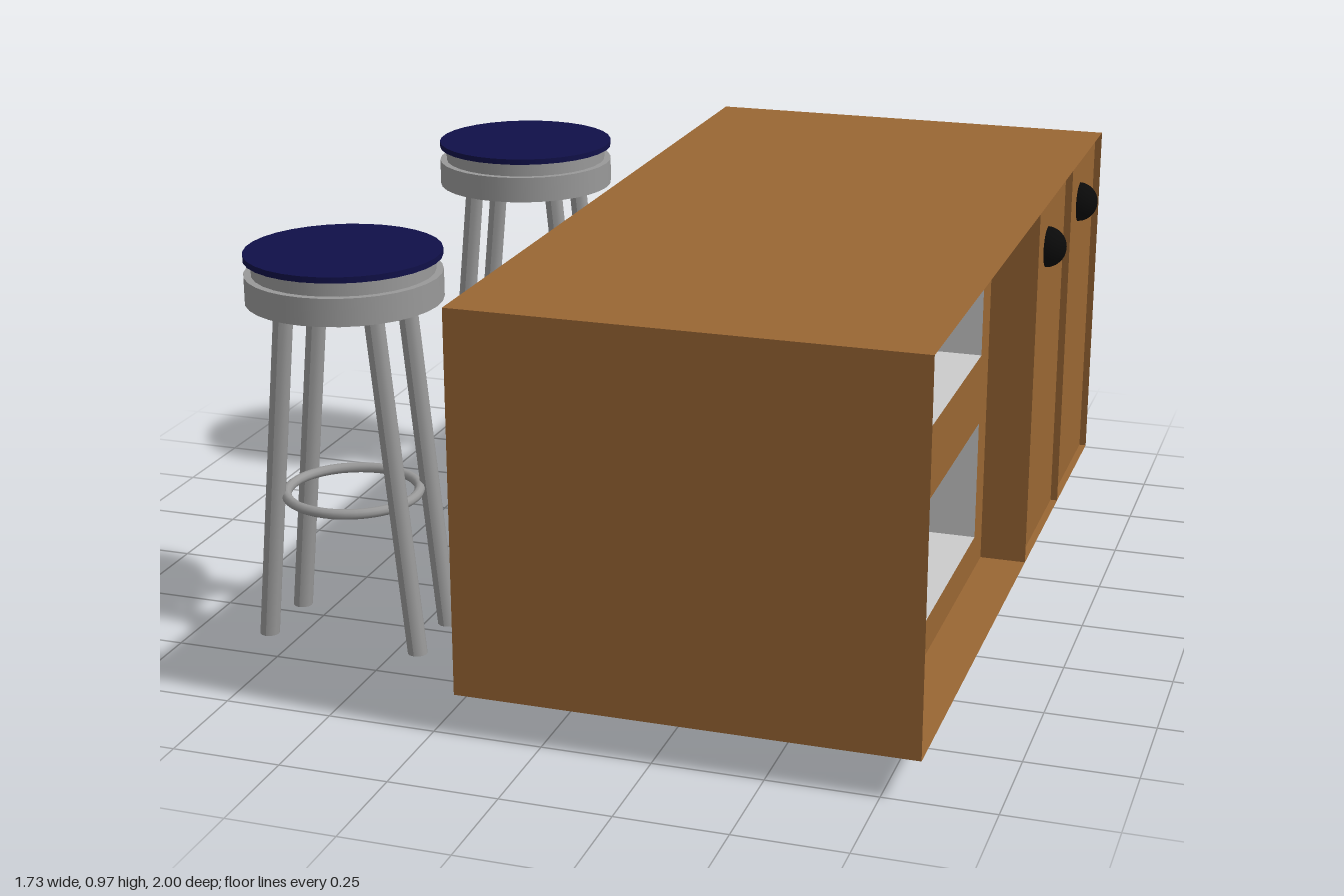
import * as THREE from 'three';

const mat = (color) => new THREE.MeshStandardMaterial({ color, side: THREE.DoubleSide });
const wood = mat(0x996633), grey = mat(0xcccccc), metal = mat(0x999999);
const navy = mat(0x101048), black = mat(0x0a0a0a);

function add(parent, name, geometry, material, x = 0, y = 0, z = 0) {
  const mesh = new THREE.Mesh(geometry, material);
  mesh.name = name;
  mesh.position.set(x, y, z);
  parent.add(mesh);
  return mesh;
}

// Thin-walled box given by its limits, with the +x side left open
function openBox(parent, name, material, [x0, x1], [y0, y1], [z0, z1]) {
  const g = new THREE.BoxGeometry(x1 - x0, y1 - y0, z1 - z0);
  g.setIndex(Array.from(g.index.array).slice(6));
  g.clearGroups();
  return add(parent, name, g, material, (x0 + x1) / 2, (y0 + y1) / 2, (z0 + z1) / 2);
}

function createCounter() {
  const counter = new THREE.Group();
  counter.name = 'counter';
  const back = -0.2, front = 0.835, low = 0.095, high = 0.97;
  const shelfX = 0.725, doorX = 0.818, split = -0.12;
  openBox(counter, 'counterCase', wood, [back, front], [low, high], [-1, 1]);

  // Recessed shelf panel with two cubby openings (shape x runs along -z)
  const cubbies = [[0.18, 0.47], [0.64, 0.885]];
  const cubbyZ = [-0.035, 0.92];
  const rect = (Type, z0, z1, y0, y1) => new Type([[-z1, y0], [-z0, y0], [-z0, y1], [-z1, y1]]
    .map(([u, v]) => new THREE.Vector2(u, v)));
  const panel = rect(THREE.Shape, split, 1, low, high);
  cubbies.forEach(([y0, y1]) => panel.holes.push(rect(THREE.Path, ...cubbyZ, y0, y1)));
  add(counter, 'shelfPanel', new THREE.ShapeGeometry(panel), wood, shelfX).rotation.y = Math.PI / 2;
  cubbies.forEach((y) => openBox(counter, 'cubby', grey, [shelfX - 0.19, shelfX], y, cubbyZ));

  // Cupboard doors with round knobs, and thin upright dividers
  const doorWidth = (split + 1) / 2;
  [0, 1].forEach((i) => {
    const edge = split - i * doorWidth;
    const door = new THREE.PlaneGeometry(doorWidth, high - low);
    add(counter, 'door', door, wood, doorX, (low + high) / 2, edge - doorWidth / 2).rotation.y = Math.PI / 2;
    const inner = i === 0 ? shelfX : doorX;
    add(counter, 'divider', new THREE.PlaneGeometry(front - inner, high - low), wood,
      (inner + front) / 2, (low + high) / 2, edge);
    add(counter, 'knob', new THREE.SphereGeometry(0.05, 24, 16), black, 0.815, 0.835, -0.33 - i * 0.455);
  });
  return counter;
}

function createStool(x, z) {
  const stool = new THREE.Group();
  stool.name = 'stool';
  stool.position.set(x, 0, z);

  // Stacked seat discs: radius, bottom, top
  const disc = (name, material, r, y0, y1) =>
    add(stool, name, new THREE.CylinderGeometry(r, r, y1 - y0, 32), material, 0, (y0 + y1) / 2, 0);
  disc('seatRing', metal, 0.227, 0.82, 0.885);
  disc('seatNeck', metal, 0.21, 0.885, 0.92);
  disc('seatPad', navy, 0.227, 0.92, 0.934);

  // Four legs splayed sideways
  for (const sx of [-1, 1]) for (const sz of [-1, 1]) {
    const leg = new THREE.CylinderGeometry(0.023, 0.023, 0.825, 12);
    const p = leg.attributes.position;
    for (let i = 0; i < p.count; i++) {
      p.setX(i, p.getX(i) - sx * 0.08 * (p.getY(i) / 0.825 + 0.5));
    }
    leg.computeVertexNormals();
    add(stool, 'leg', leg, metal, sx * 0.19, 0.4125, sz * 0.09);
  }
  add(stool, 'footRing', new THREE.TorusGeometry(0.155, 0.012, 10, 40), metal, 0, 0.35, 0)
    .rotation.x = Math.PI / 2;
  return stool;
}

export function createModel() {
  const model = new THREE.Group();
  model.name = 'counterWithStools';
  model.add(createCounter(), createStool(-0.638, -0.605), createStool(-0.638, 0.54));
  return model;
}
